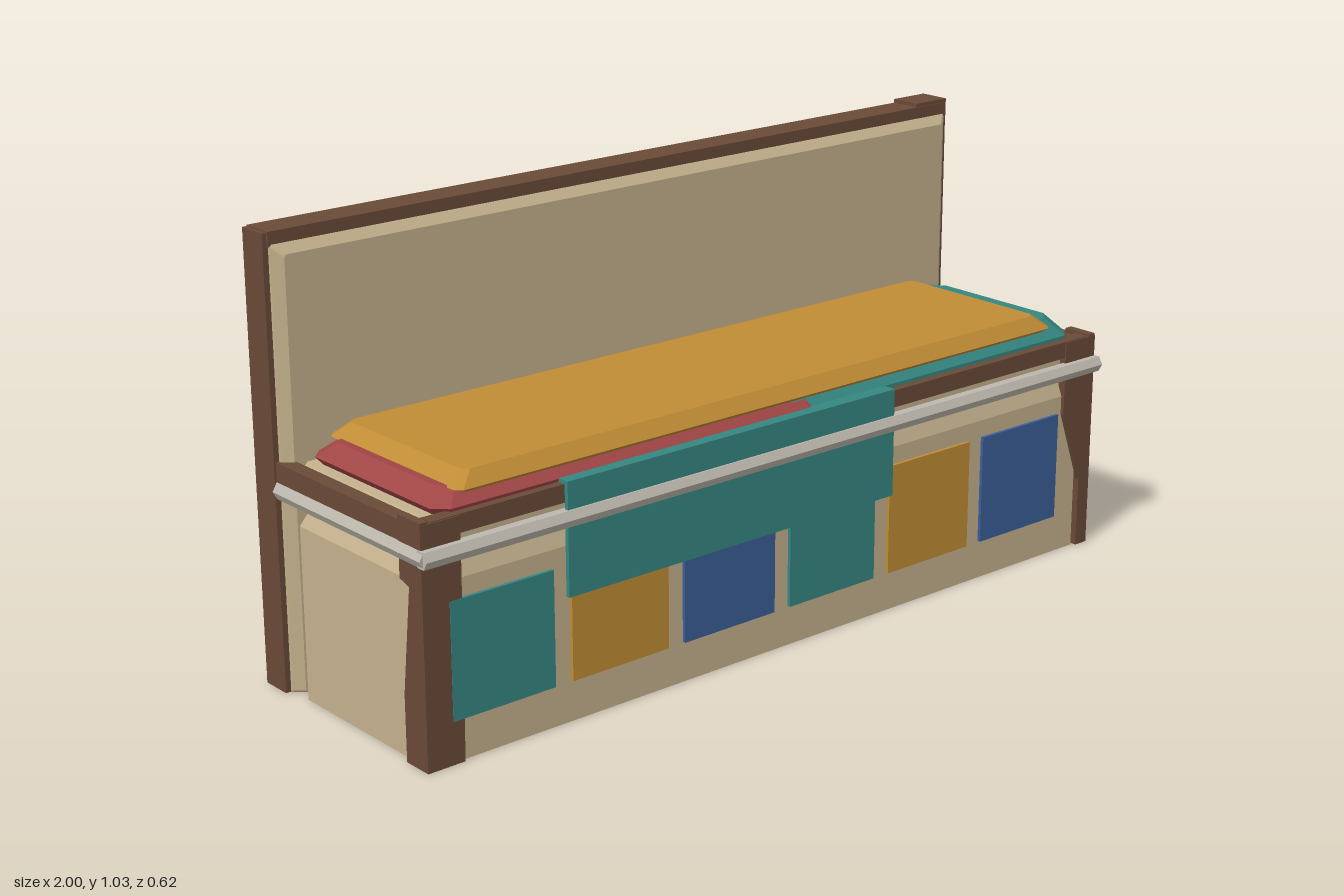
import * as THREE from 'three';

const mat = (name, color, extra = {}) => new THREE.MeshStandardMaterial({ name, color, ...extra });

export function createModel() {
  const model = new THREE.Group();
  model.name = 'bench';
  const cream = mat('cream', 0xc4b18d);
  const brown = mat('brown wood', 0x6a4a38);
  const gold = mat('gold', 0xc08c35);
  const teal = mat('teal', 0x358782);
  const blue = mat('blue', 0x3a5f98);
  const red = mat('red', 0xa04545);
  const grey = mat('grey', 0xbdb8ae);

  const add = (name, geometry, material) => {
    const mesh = new THREE.Mesh(geometry, material);
    mesh.name = name;
    model.add(mesh);
    return mesh;
  };
  // box given by its limits
  const box = (name, material, x0, x1, y0, y1, z0, z1) => {
    const g = new THREE.BoxGeometry(x1 - x0, y1 - y0, z1 - z0);
    g.translate((x0 + x1) / 2, (y0 + y1) / 2, (z0 + z1) / 2);
    return add(name, g, material);
  };
  // faceted solid from stacked rectangles [y, x0, x1, z0, z1] with cut corners
  const stack = (name, material, layers, cut = 0.02) => {
    const rings = layers.map(([y, x0, x1, z0, z1]) => [
      [x0 + cut, z1], [x1 - cut, z1], [x1, z1 - cut], [x1, z0 + cut],
      [x1 - cut, z0], [x0 + cut, z0], [x0, z0 + cut], [x0, z1 - cut],
    ].map(([x, z]) => [x, y, z]));
    const p = [];
    const tri = (a, b, c) => p.push(...a, ...b, ...c);
    for (let i = 0; i + 1 < rings.length; i++) {
      for (let j = 0; j < 8; j++) {
        const k = (j + 1) % 8, a = rings[i], b = rings[i + 1];
        tri(a[j], a[k], b[k]);
        tri(a[j], b[k], b[j]);
      }
    }
    const top = rings[rings.length - 1], low = rings[0];
    for (let j = 1; j < 7; j++) {
      tri(top[0], top[j], top[j + 1]);
      tri(low[0], low[j + 1], low[j]);
    }
    const g = new THREE.BufferGeometry();
    g.setAttribute('position', new THREE.Float32BufferAttribute(p, 3));
    g.computeVertexNormals();
    return add(name, g, material);
  };
  const plate = (points, depth) => new THREE.ExtrudeGeometry(
    new THREE.Shape(points.map(([x, y]) => new THREE.Vector2(x, y))), { depth, bevelEnabled: false });

  // upholstered base and seat
  stack('base', cream, [
    [0, -0.972, 0.972, -0.205, 0.277],
    [0.395, -0.972, 0.972, -0.205, 0.277],
    [0.437, -0.95, 0.95, -0.19, 0.26],
  ], 0.03);
  stack('seat', cream, [
    [0.43, -0.955, 0.955, -0.2, 0.268],
    [0.5, -0.955, 0.955, -0.2, 0.268],
    [0.522, -0.94, 0.94, -0.2, 0.255],
  ], 0.01);

  // upholstered back, chamfered around its front face
  box('backPanel', cream, -0.977, 0.977, 0, 0.99, -0.305, -0.23);
  const pad = stack('backPad', cream, [
    [-0.235, -0.977, 0.977, -0.99, 0],
    [-0.228, -0.977, 0.977, -0.99, 0],
    [-0.21, -0.955, 0.955, -0.97, 0],
  ], 0.005);
  pad.rotation.x = Math.PI / 2;

  // front posts: corner core with shaped front and side faces
  for (const s of [-1, 1]) {
    const side = s < 0 ? 'right' : 'left';
    const xa = s < 0 ? -0.987 : 0.952, xb = s < 0 ? -0.952 : 0.987;
    box(side + 'FrontPostCore', brown, xa, xb, 0, 0.53, 0.245, 0.285);
    const face = s < 0
      ? [[-0.987, 0], [-0.895, 0], [-0.89, 0.53], [-0.987, 0.53]]
      : [[0.95, 0], [0.987, 0], [0.987, 0.53], [0.885, 0.53], [0.885, 0.35], [0.95, 0.17]];
    const front = plate(face, 0.02);
    front.translate(0, 0, 0.266);
    add(side + 'FrontPostFace', front, brown);
    const flank = plate([[-0.285, 0], [-0.212, 0], [-0.212, 0.15], [-0.242, 0.39], [-0.21, 0.4], [-0.21, 0.535], [-0.285, 0.535]], 0.02);
    flank.rotateY(Math.PI / 2);
    flank.translate(s > 0 ? 0.967 : -0.987, 0, 0);
    add(side + 'FrontPostFlank', flank, brown);
    // arm rail and back post
    box(side + 'ArmRail', brown, s < 0 ? -0.985 : 0.95, s < 0 ? -0.95 : 0.985, 0.475, 0.523, -0.24, 0.28);
    box(side + 'BackPost', brown, s < 0 ? -0.99 : 0.962, s < 0 ? -0.962 : 0.99, 0, s < 0 ? 1.015 : 1.025, -0.31, -0.235);
  }
  box('frontRail', brown, -0.96, 0.96, 0.492, 0.532, 0.25, 0.283);
  box('topRail', brown, -0.98, 0.98, 0.985, 1.018, -0.309, -0.23);
  box('topRailCap', brown, 0.885, 0.988, 0.985, 1.027, -0.31, -0.232);
  box('backPostFoot', brown, 0.895, 0.988, 0, 0.65, -0.31, -0.3);

  // grey trim running around the front and both sides
  const trim = new THREE.Group();
  trim.name = 'greyTrim';
  const bar = (length, x, z, turn) => {
    const g = new THREE.CylinderGeometry(0.021, 0.021, length, 6).toNonIndexed();
    g.computeVertexNormals();
    g.rotateZ(Math.PI / 2);
    g.rotateY(turn);
    g.translate(x, 0.461, z);
    const mesh = new THREE.Mesh(g, grey);
    mesh.name = 'trimBar';
    trim.add(mesh);
  };
  bar(1.98, 0, 0.289, 0);
  for (const s of [-1, 1]) bar(0.53, s * 0.977, 0.032, Math.PI / 2);
  model.add(trim);

  // layered cushions
  stack('redCushion', red, [
    [0.515, -0.91, 0.1, -0.19, 0.255],
    [0.54, -0.93, 0.1, -0.2, 0.268],
    [0.57, -0.89, 0.1, -0.17, 0.23],
  ], 0.03);
  stack('tealCushion', teal, [
    [0.515, 0, 0.91, -0.195, 0.262],
    [0.54, 0, 0.935, -0.2, 0.262],
    [0.582, 0, 0.9, -0.16, 0.225],
  ], 0.03);
  stack('goldCushion', gold, [
    [0.552, -0.85, 0.84, -0.19, 0.24],
    [0.567, -0.875, 0.865, -0.208, 0.258],
    [0.598, -0.84, 0.83, -0.18, 0.232],
  ], 0.015);

  // cloth draped over the seat front and tucked behind it
  box('clothFront', teal, -0.63, 0.3, 0.288, 0.541, 0.286, 0.296);
  box('clothTop', teal, -0.63, 0.3, 0.533, 0.541, 0.22, 0.29);
  box('clothBack', teal, -0.63, 0.3, 0.4, 0.53, -0.208, -0.2);

  // coloured squares across the front
  [teal, gold, blue, teal, gold, blue].forEach((m, i) => {
    const x = -0.922 + i * 0.3055;
    box('frontSquare', m, x, x + 0.26, 0.095, 0.355, 0.279, 0.287);
  });
  return model;
}
